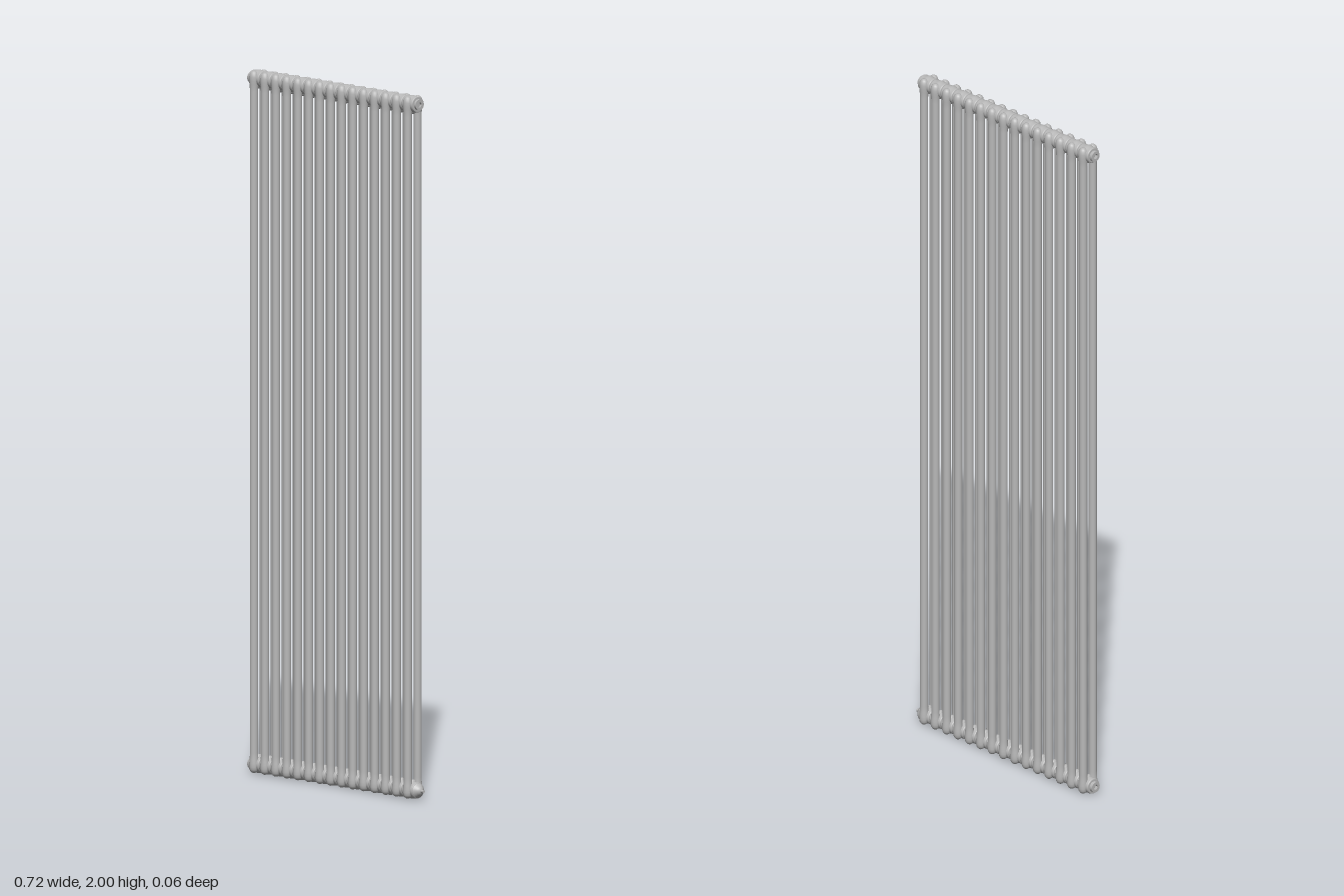
import * as THREE from 'three';

const COUNT = 15, PITCH = 0.0461, FIRST = -0.33;
const HEADER_Y = [0.025, 1.975];
const COLUMN_Z = 0.0185;

const lathe = (pts, segs) =>
  new THREE.LatheGeometry(pts.map(([r, y]) => new THREE.Vector2(r, y)), segs);

// Lathe whose axis runs along +x
const latheX = (pts, segs) => lathe(pts, segs).rotateZ(-Math.PI / 2);

// Column: slim tube swelling into a rounded shoulder at both ends
function columnGeometry() {
  const half = [[0, 0.002], [0.005, 0.003], [0.0095, 0.0065], [0.0125, 0.012], [0.0138, 0.02],
    [0.0136, 0.03], [0.0127, 0.04], [0.0119, 0.05], [0.0117, 0.06]];
  const upper = half.map(([r, y]) => [r, 2 - y]).reverse();
  return lathe([...half, ...upper], 20);
}

// Hub: one section of the header, narrowed to a welded seam on each side
function hubGeometry() {
  const h = PITCH / 2;
  return latheX([[0, -h], [0.0205, -h], [0.0222, -h + 0.0015], [0.0228, -h + 0.005],
    [0.0226, -0.012], [0.0238, -0.006], [0.0245, 0], [0.0238, 0.006], [0.0226, 0.012],
    [0.0228, h - 0.005], [0.0222, h - 0.0015], [0.0205, h], [0, h]], 32);
}

// End plug: round collar with a hexagonal key socket, facing +x
function plugGeometry(depth) {
  const shape = new THREE.Shape().absarc(0, 0, 0.0155, 0, Math.PI * 2);
  const hex = [];
  for (let i = 0; i < 6; i++) {
    const a = -i * Math.PI / 3;
    hex.push(new THREE.Vector2(0.008 * Math.cos(a), 0.008 * Math.sin(a)));
  }
  shape.holes.push(new THREE.Path(hex));
  return new THREE.ExtrudeGeometry(shape, { depth, bevelEnabled: false, curveSegments: 20 })
    .rotateY(Math.PI / 2);
}

export function createModel() {
  const model = new THREE.Group();
  model.name = 'columnRadiator';
  const paint = new THREE.MeshStandardMaterial({ color: 0xb8b8b8 });
  paint.name = 'greyEnamel';

  const add = (parent, name, geometry, x, y, z) => {
    const mesh = new THREE.Mesh(geometry, paint);
    mesh.name = name;
    mesh.position.set(x, y, z);
    parent.add(mesh);
    return mesh;
  };

  const column = columnGeometry();
  const hub = hubGeometry();
  const web = new THREE.SphereGeometry(1, 16, 10).scale(0.0095, 0.018, 0.015);

  // Repeated radiator sections
  for (let i = 0; i < COUNT; i++) {
    const section = new THREE.Group();
    section.name = 'section' + (i + 1);
    section.position.x = FIRST + i * PITCH;
    for (const z of [COLUMN_Z, -COLUMN_Z]) add(section, z > 0 ? 'frontColumn' : 'rearColumn', column, 0, 0, z);
    HEADER_Y.forEach((y, k) => {
      add(section, k ? 'upperHub' : 'lowerHub', hub, 0, y, 0);
      add(section, k ? 'upperWeb' : 'lowerWeb', web, 0, y + (k ? -0.012 : 0.012), 0);
    });
    model.add(section);
  }

  // Plugs closing the headers
  const leftEnd = FIRST + (COUNT - 0.5) * PITCH;
  const rightEnd = FIRST - PITCH / 2;
  const plug = plugGeometry(0.009);
  for (const y of HEADER_Y) add(model, 'rightPlug', plug, rightEnd, y, 0).rotation.y = Math.PI;
  add(model, 'upperLeftPlug', plugGeometry(0.007), leftEnd, HEADER_Y[1], 0);

  // Bleed valve: stepped cone with a slim spindle
  const valve = latheX([[0.021, -0.001], [0.021, 0.001], [0.0165, 0.004], [0.0165, 0.006],
    [0.012, 0.009], [0.012, 0.011], [0.007, 0.014], [0.0045, 0.015]], 24);
  add(model, 'bleedValve', valve, leftEnd, HEADER_Y[0], 0);
  const spindle = new THREE.CylinderGeometry(0.0045, 0.0045, 0.012, 12).rotateZ(-Math.PI / 2);
  add(model, 'valveSpindle', spindle, leftEnd + 0.0175, HEADER_Y[0], 0);

  return model;
}
